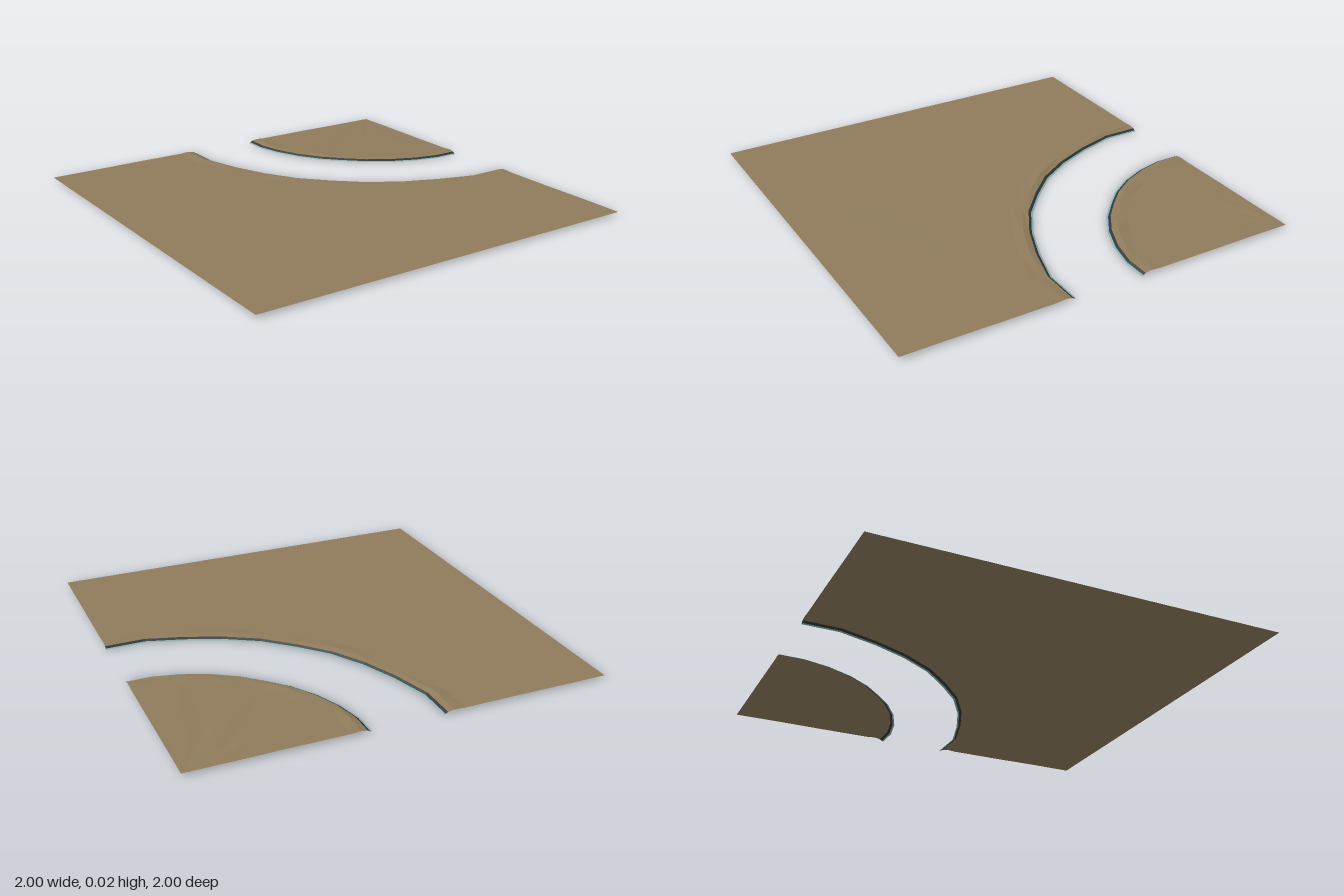
import * as THREE from 'three';

const material = (name, color) => {
  const m = new THREE.MeshStandardMaterial({ color, side: THREE.DoubleSide, flatShading: true });
  m.name = name;
  return m;
};

// Shorelines as [x, z], from the back edge round to the left edge
const OUTER = [[-0.17, -1], [-0.17, -0.82], [-0.115, -0.63], [-0.045, -0.46], [0.05, -0.3], [0.17, -0.17],
  [0.3, -0.05], [0.46, 0.045], [0.63, 0.115], [0.81, 0.17], [1, 0.17]];
const INNER = [[0.17, -1], [0.17, -0.88], [0.2, -0.75], [0.255, -0.62], [0.33, -0.505], [0.415, -0.415],
  [0.505, -0.33], [0.62, -0.255], [0.75, -0.2], [0.88, -0.17], [1, -0.17]];

// Moves a shoreline inland by d, at height y(i)
function bankRow(line, side, d, y) {
  return line.map(([x, z], i) => {
    const a = line[Math.max(i - 1, 0)], b = line[Math.min(i + 1, line.length - 1)];
    const tx = b[0] - a[0], tz = b[1] - a[1], len = Math.hypot(tx, tz);
    const end = i === 0 || i === line.length - 1;
    const nx = end ? Math.round(tx / len) : tx / len;
    const nz = end ? Math.round(tz / len) : tz / len;
    return new THREE.Vector3(x - side * nz * d, y(i), z + side * nx * d);
  });
}

// Joins neighbouring rows of points into a sheet that faces up
function sheet(name, rows, side, mat) {
  const n = rows[0].length, index = [];
  for (let r = 0; r < rows.length - 1; r++) {
    for (let i = 0; i < n - 1; i++) {
      const a = r * n + i, b = a + 1, c = a + n, d = c + 1;
      if (side > 0) index.push(a, c, b, b, c, d);
      else index.push(a, b, c, b, d, c);
    }
  }
  const g = new THREE.BufferGeometry().setFromPoints(rows.flat());
  g.setIndex(index);
  g.computeVertexNormals();
  const mesh = new THREE.Mesh(g, mat);
  mesh.name = name;
  return mesh;
}

// One piece of land with its bank; farEdge(i) gives the far boundary point
function land(name, line, side, farEdge, mats) {
  const group = new THREE.Group();
  group.name = name;
  const foot = bankRow(line, side, 0, () => 0);
  const waterTop = bankRow(line, side, 0.009, () => 0.003);
  const bankTop = bankRow(line, side, 0.021, () => 0.01);
  const lip = bankRow(line, side, 0.05, i => 0.015 + 0.004 * Math.sin(i * 1.9));
  const shoulder = bankRow(line, side, 0.1, () => 0.012);
  const rows = [bankTop, lip, shoulder];
  for (const t of [0.35, 0.7, 1]) {
    rows.push(shoulder.map((p, i) => {
      const q = p.clone().lerp(farEdge(i), t);
      if (t < 1) q.y += 0.001 * Math.sin(i * 2.3 + t * 5);
      return q;
    }));
  }
  group.add(
    sheet('waterline', [foot, waterTop], side, mats.water),
    sheet('wetBank', [waterTop, bankTop], side, mats.bank),
    sheet('ground', rows, side, mats.earth));
  return group;
}

export function createModel() {
  const mats = {
    earth: material('earth brown', 0x8f7b5b),
    bank: material('dark wet bank', 0x31383a),
    water: material('pale water edge', 0x8bb0b2),
  };
  const model = new THREE.Group();
  model.name = 'riverBendTile';
  // Large land wraps round the outside of the bend
  const outerEdge = i => i <= 5
    ? new THREE.Vector3(-1, 0.012, -1 + 0.4 * i)
    : new THREE.Vector3(-1 + 0.4 * (i - 5), 0.012, 1);
  // Small land fans out from the back left corner
  const innerEdge = () => new THREE.Vector3(1, 0.012, -1);
  model.add(
    land('outerLand', OUTER, 1, outerEdge, mats),
    land('innerLand', INNER, -1, innerEdge, mats));
  return model;
}
